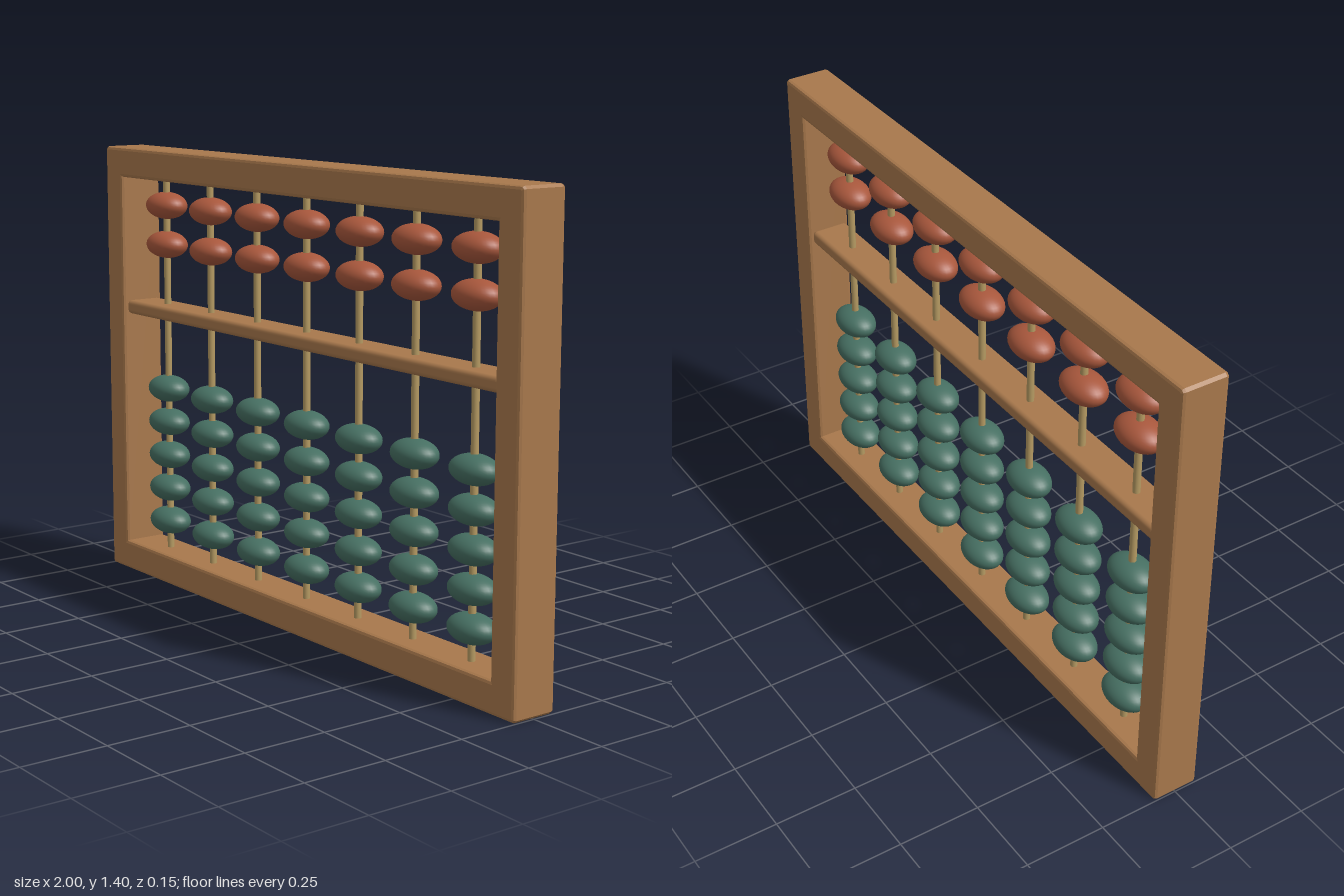
import * as THREE from 'three';
import { RoundedBoxGeometry } from 'three/addons/geometries/RoundedBoxGeometry.js';

const material = (color) => new THREE.MeshStandardMaterial({ color });

const WIDTH = 2, HEIGHT = 1.4, DEPTH = 0.145, BAR = 0.095, BEVEL = 0.01;

// Rectangle outline with small chamfered corners
function outline(PathType, x, y, w, h, c) {
  const path = new PathType();
  path.moveTo(x + c, y);
  path.lineTo(x + w - c, y);
  path.lineTo(x + w, y + c);
  path.lineTo(x + w, y + h - c);
  path.lineTo(x + w - c, y + h);
  path.lineTo(x + c, y + h);
  path.lineTo(x, y + h - c);
  path.lineTo(x, y + c);
  path.closePath();
  return path;
}

export function createModel() {
  const model = new THREE.Group();
  model.name = 'abacus';

  const wood = material(0xa8784c);
  const rodWood = material(0xb59a62);
  const upperPaint = material(0xa8573c);
  const lowerPaint = material(0x466f62);

  function add(parent, name, geometry, mat, x, y, z = 0) {
    const mesh = new THREE.Mesh(geometry, mat);
    mesh.name = name;
    mesh.position.set(x, y, z);
    parent.add(mesh);
    return mesh;
  }

  // Outer frame: one bevelled slab with a window
  const shape = outline(THREE.Shape, -WIDTH / 2, 0, WIDTH, HEIGHT, 0.008);
  const hole = new THREE.Path();
  const inX = WIDTH / 2 - BAR;
  hole.moveTo(-inX, BAR);
  hole.lineTo(-inX, HEIGHT - BAR);
  hole.lineTo(inX, HEIGHT - BAR);
  hole.lineTo(inX, BAR);
  hole.closePath();
  shape.holes.push(hole);
  const frameGeometry = new THREE.ExtrudeGeometry(shape, {
    depth: DEPTH - 2 * BEVEL, bevelEnabled: true, bevelThickness: BEVEL,
    bevelSize: BEVEL, bevelOffset: -BEVEL, bevelSegments: 2,
  });
  add(model, 'frame', frameGeometry, wood, 0, 0, -DEPTH / 2 + BEVEL);

  // Cross beam between the two decks
  add(model, 'crossBeam', new RoundedBoxGeometry(2 * inX, 0.044, 0.12, 3, 0.014), wood, 0, 0.882);

  // Rods with their beads
  const rodLength = HEIGHT - 2 * BAR + 0.04;
  const rodGeometry = new THREE.CylinderGeometry(0.011, 0.011, rodLength, 16);
  const beadGeometry = new THREE.SphereGeometry(1, 32, 20).scale(0.083, 0.043, 0.058);
  for (let i = 0; i < 7; i++) {
    const column = new THREE.Group();
    column.name = `column${i + 1}`;
    column.position.x = (i - 3) * 0.25;
    model.add(column);
    add(column, 'rod', rodGeometry, rodWood, 0, HEIGHT / 2);
    for (let j = 0; j < 2; j++) add(column, 'upperBead', beadGeometry, upperPaint, 0, 1.096 + j * 0.125);
    for (let j = 0; j < 5; j++) add(column, 'lowerBead', beadGeometry, lowerPaint, 0, 0.187 + j * 0.11);
  }

  return model;
}
